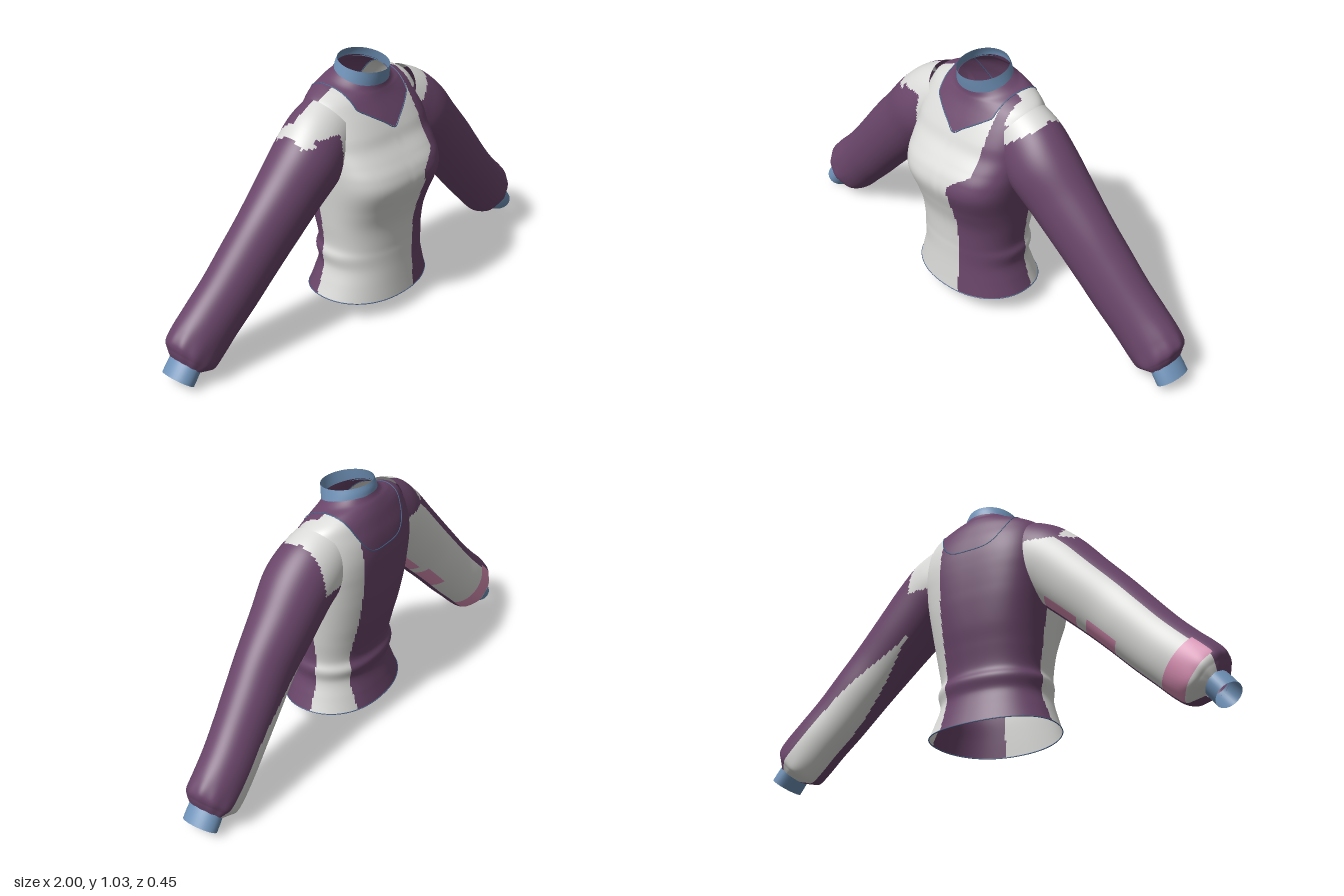
import * as THREE from 'three';

const mat = (name, color) => Object.assign(
  new THREE.MeshStandardMaterial({ color, side: THREE.DoubleSide }), { name });

// Smooth interpolation through rows of numbers, t from 0 to 1
function sample(rows, t) {
  const f = Math.min(Math.max(t, 0), 1) * (rows.length - 1);
  const i = Math.min(Math.floor(f), rows.length - 2), k = f - i;
  const row = j => rows[Math.min(Math.max(j, 0), rows.length - 1)];
  const [a, b, c, d] = [row(i - 1), row(i), row(i + 1), row(i + 2)];
  return b.map((p1, n) => {
    const m1 = (c[n] - a[n]) / 2, m2 = (d[n] - p1) / 2, k2 = k * k, k3 = k2 * k;
    return (2 * k3 - 3 * k2 + 1) * p1 + (k3 - 2 * k2 + k) * m1 + (3 * k2 - 2 * k3) * c[n] + (k3 - k2) * m2;
  });
}

// Closed-ring surface; pick(point, u, v) returns the material index of each cell
function loft(name, nu, nv, point, mats, pick = () => 0, flip = false) {
  const pos = [], sets = mats.map(() => []);
  for (let j = 0; j <= nv; j++) for (let i = 0; i < nu; i++) pos.push(...point(i / nu, j / nv));
  for (let j = 0; j < nv; j++) for (let i = 0; i < nu; i++) {
    const k = (i + 1) % nu, a = j * nu + i, b = j * nu + k, c = b + nu, d = a + nu;
    const u = (i + 0.5) / nu, v = (j + 0.5) / nv;
    sets[pick(point(u, v), u, v)].push(...(flip ? [a, c, d, a, b, c] : [a, d, c, a, c, b]));
  }
  const geo = new THREE.BufferGeometry();
  geo.setAttribute('position', new THREE.Float32BufferAttribute(pos, 3));
  geo.setIndex(sets.flat());
  let start = 0;
  sets.forEach((s, n) => { if (s.length) geo.addGroup(start, s.length, n); start += s.length; });
  geo.computeVertexNormals();
  const mesh = new THREE.Mesh(geo, mats);
  mesh.name = name;
  return mesh;
}

// Body rows: y, half width, front z, back z, tilt, roundness exponent, rise at the sides
const BODY = [
  [0.076, 0.265, 0.175, -0.213, -0.02, 2.2, 0.014],
  [0.14, 0.245, 0.17, -0.195, 0, 2.2, 0.006],
  [0.21, 0.226, 0.166, -0.178, 0, 2.2, 0],
  [0.265, 0.232, 0.165, -0.188, 0, 2.2, 0],
  [0.31, 0.222, 0.165, -0.175, 0, 2.3, 0],
  [0.40, 0.232, 0.172, -0.19, 0, 2.4, 0],
  [0.48, 0.241, 0.195, -0.206, 0, 2.6, 0],
  [0.57, 0.252, 0.224, -0.217, 0, 2.9, 0],
  [0.63, 0.258, 0.213, -0.221, 0, 3, 0],
  [0.68, 0.261, 0.182, -0.223, 0, 3, 0],
  [0.73, 0.263, 0.146, -0.223, 0, 3, 0],
  [0.78, 0.264, 0.125, -0.22, -0.02, 2.9, 0],
  [0.83, 0.264, 0.102, -0.211, -0.06, 2.6, 0],
  [0.87, 0.26, 0.082, -0.198, -0.1, 2.3, 0],
  [0.905, 0.24, 0.066, -0.184, -0.16, 2.1, 0],
  [0.932, 0.188, 0.056, -0.168, -0.22, 2, 0],
  [0.948, 0.14, 0.051, -0.155, -0.25, 2, 0],
  [0.97, 0.107, 0.048, -0.145, -0.25, 2, 0],
];
const COLLAR = [
  [0.962, 0.112, 0.054, -0.149, -0.25, 2, 0],
  [0.985, 0.106, 0.059, -0.146, -0.21, 2, 0],
  [1.008, 0.1, 0.063, -0.138, -0.175, 2, 0],
];
function ringPoint(rows, u, t) {
  const [y, w, zf, zb, tilt, e, rise] = sample(rows, t);
  const a = u * Math.PI * 2, c = Math.cos(a), s = Math.sin(a);
  const dz = (zf - zb) / 2 * Math.sign(s) * Math.abs(s) ** (2 / e);
  return [w * Math.sign(c) * Math.abs(c) ** (2 / e), y + tilt * dz + rise * c * c, (zf + zb) / 2 + dz];
}

// Neckline: V at the front, U at the back; found on the body for each angle
function overNeckline([x, y, z]) {
  const ax = Math.abs(x), k = THREE.MathUtils.smoothstep(z, -0.12, 0);
  const front = 0.78 + 0.64 * ax + Math.max(0, ax - 0.14) * 4;
  return y > THREE.MathUtils.lerp(0.795 + 200 * x ** 4, front, k);
}
const cache = new Map();
function neckline(u) {
  if (!cache.has(u)) {
    let lo = 0.55, hi = 1;
    for (let i = 0; i < 24; i++) {
      const m = (lo + hi) / 2;
      if (overNeckline(ringPoint(BODY, u, m))) hi = m; else lo = m;
    }
    cache.set(u, hi);
  }
  return cache.get(u);
}

// Colour areas of the body: 0 purple, 1 white
function bodyColour([x, y, z]) {
  if (x > 0.19 && y > 0.86) return 1;
  if (z < -0.05) return x > 0.135 ? 1 : 0;
  const edge = 0.065 + 0.085 * THREE.MathUtils.smoothstep(y, 0.6, 0.68);
  return x < edge && (z > -0.02 || x < 0) ? 1 : 0;
}

// Sleeve rows: centre x, y, in-plane radius, centre z, depth radius
const SLEEVE = [
  [0.17, 0.80, 0.138, -0.055, 0.118],
  [0.238, 0.753, 0.152, -0.048, 0.13],
  [0.315, 0.692, 0.148, -0.04, 0.133],
  [0.41, 0.597, 0.139, -0.045, 0.122],
  [0.52, 0.485, 0.132, -0.05, 0.11],
  [0.61, 0.388, 0.126, -0.06, 0.106],
  [0.70, 0.29, 0.122, -0.07, 0.102],
  [0.78, 0.21, 0.12, -0.08, 0.1],
  [0.848, 0.145, 0.121, -0.084, 0.098],
  [0.889, 0.108, 0.113, -0.083, 0.095],
  [0.906, 0.092, 0.085, -0.08, 0.084],
  [0.92, 0.078, 0.053, -0.08, 0.069],
];
const CUFF = [[0.914, 0.088, 0.052, -0.08, 0.069], [0.936, 0.06, 0.053, -0.08, 0.071], [0.957, 0.033, 0.053, -0.08, 0.071]];
function sleevePoint(rows, side, u, t, gather = 0) {
  const [x, y, a, z, b] = sample(rows, t);
  const p = sample(rows, t - 0.01), q = sample(rows, t + 0.01);
  const tx = q[0] - p[0], ty = q[1] - p[1], l = Math.hypot(tx, ty), f = u * Math.PI * 2;
  // soft gathers above the cuff
  const g = 1 + gather * THREE.MathUtils.smoothstep(t, 0.65, 0.9) * Math.sin(9 * f + 2 * Math.sin(f));
  const r = a * g * Math.cos(f);
  return [side * (x - ty / l * r), y + tx / l * r, z - b * g * Math.sin(f)];
}

// Colour areas of the sleeves: 0 purple, 1 white, 2 pink
function leftSleeveColour([x, y, z], u, t) {
  const f = u * 360, cx = sample(SLEEVE, t)[0];
  if (z < -0.05 ? y > 0.71 && x < 0.315 : y > 0.78 && x < 0.33 - Math.max(0, 0.885 - y) * 1.3) return 1;
  return Math.abs(f - 130) < 42 * THREE.MathUtils.smoothstep(cx, 0.36, 0.72) ? 1 : 0;
}
function rightSleeveColour([x, y, z], u, t) {
  const f = u * 360, cx = sample(SLEEVE, t)[0], within = (v, a, b) => v > a && v < b;
  // shoulder: white at the front and in a band over the top, purple patch behind
  if (z > -0.06 && ((x > -0.38 && y > 0.815) || (x > -0.245 && y > 0.6))) return 1;
  if (x > -0.355 && y > 0.79) return 0;
  if (x > -0.4 && y > 0.79) return 1;
  const pinkEnd = within(cx, 0.81, 0.887);
  if (!within(f, pinkEnd ? 45 : 52, 168)) return 0;
  const pink = (within(cx, 0.36, 0.48) && f > 143) || (within(cx, 0.52, 0.64) && f > 134) || pinkEnd;
  return pink ? 2 : 1;
}

export function createModel() {
  const purple = mat('purple cloth', 0x6a466a), white = mat('white cloth', 0xdadad8);
  const pink = mat('pink cloth', 0xdb90b5), blue = mat('blue ribbing', 0x6f92b8);
  const trim = mat('dark blue trim', 0x48628a);
  const cloth = [purple, white, pink];
  const group = new THREE.Group();
  group.name = 'sweater';

  // Body, yoke and collar
  group.add(loft('body', 200, 130, (u, v) => ringPoint(BODY, u, v * neckline(u)), cloth, bodyColour));
  group.add(loft('yoke', 200, 30, (u, v) => {
    const n = neckline(u);
    return ringPoint(BODY, u, n + (1 - n) * v);
  }, [purple]));
  group.add(loft('collar', 64, 6, (u, v) => ringPoint(COLLAR, u, v), [blue]));

  // Piping along the neckline and hem
  const piping = (name, level, radius) => {
    const pts = Array.from({ length: 80 }, (_, i) =>
      new THREE.Vector3(...ringPoint(BODY, i / 80, level(i / 80))));
    const curve = new THREE.CatmullRomCurve3(pts, true);
    const mesh = new THREE.Mesh(new THREE.TubeGeometry(curve, 160, radius, 6, true), trim);
    mesh.name = name;
    group.add(mesh);
  };
  piping('necklinePiping', neckline, 0.0025);
  piping('hemPiping', () => 0, 0.002);

  // Sleeves and cuffs
  for (const side of [1, -1]) {
    const label = side > 0 ? 'left' : 'right';
    group.add(loft(label + 'Sleeve', 108, 120, (u, v) => sleevePoint(SLEEVE, side, u, v, 0.018),
      cloth, side > 0 ? leftSleeveColour : rightSleeveColour, side < 0));
    group.add(loft(label + 'Cuff', 40, 4, (u, v) => sleevePoint(CUFF, side, u, v), [blue], undefined, side < 0));
  }
  return group;
}
